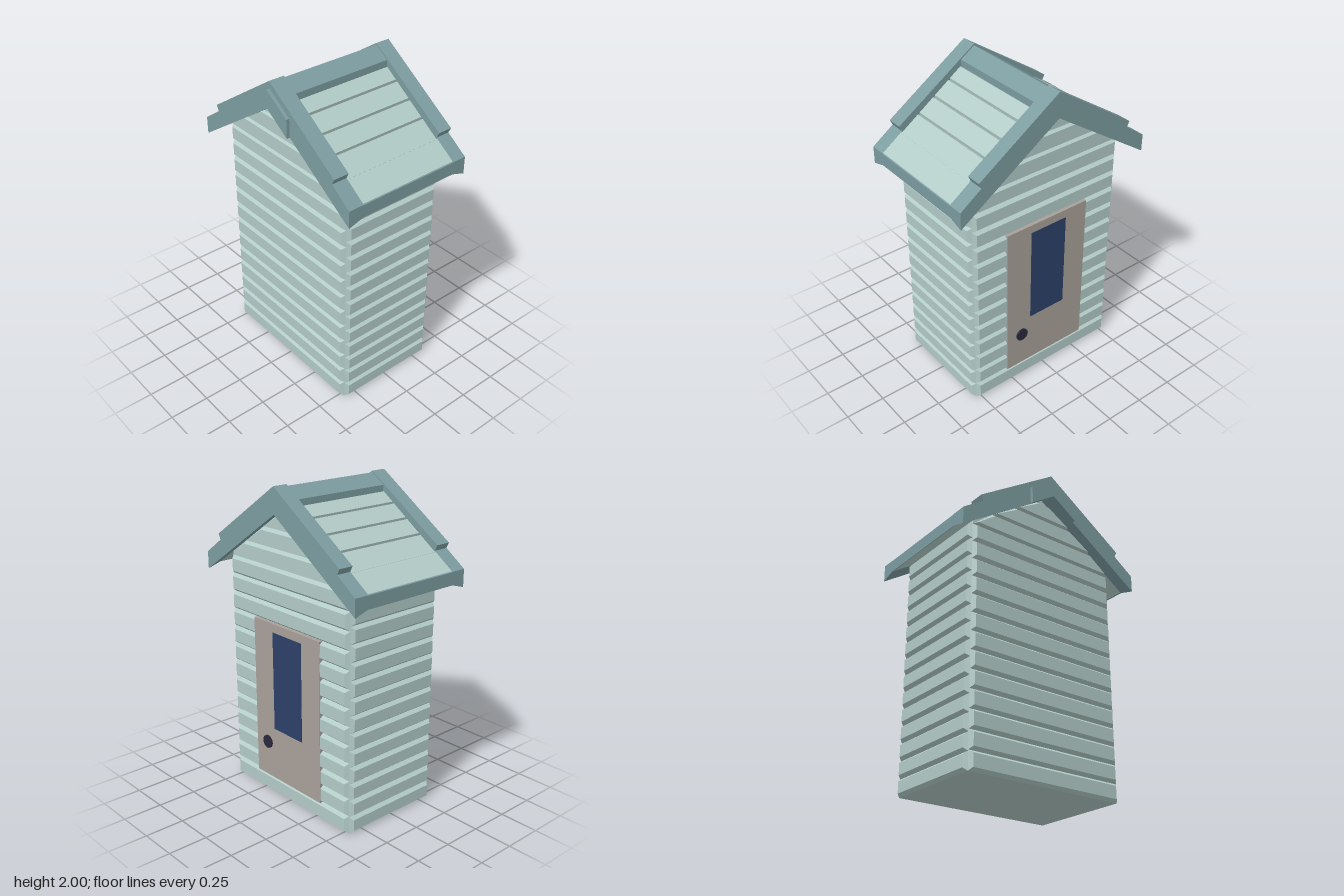
import * as THREE from 'three';

const mat = (color) => new THREE.MeshStandardMaterial({ color, flatShading: true });
const boards = mat(0xb2cbc7), trim = mat(0x7c9ca0), doorPaint = mat(0xa89f99);
const glass = mat(0x2c4069), metal = mat(0x28283c);

const BACK = -0.345, FRONT = 0.325, MID = (BACK + FRONT) / 2, DEPTH = FRONT - BACK;
const HALF = 0.528, RELIEF = 0.023;

const toShape = (pts) => new THREE.Shape(pts.map(([x, y]) => new THREE.Vector2(x, y)));

function add(parent, name, geometry, material) {
  const mesh = new THREE.Mesh(geometry, material);
  mesh.name = name;
  parent.add(mesh);
  return mesh;
}

// Flat profile in x/y, pushed from z0 to z1
function slab(pts, z0, z1) {
  const geo = new THREE.ExtrudeGeometry(toShape(pts), { depth: z1 - z0, bevelEnabled: false });
  return geo.translate(0, 0, z0);
}

// Mirrors a right-hand profile (first and last points on the centre line)
const mirrored = (half) => [...half, ...half.slice(1, -1).reverse().map(([x, y]) => [-x, y])];
const chevron = (top, bottom) => {
  const left = ([x, y]) => [-x, y];
  return [...top, ...bottom.slice().reverse(), ...bottom.slice(1).map(left), ...top.slice(1).reverse().map(left)];
};

// Board with chamfered edges; local z = 0 is the wall, its face stands out by `relief`
function board(pts, relief = RELIEF, chamfer = 0.018) {
  const geo = new THREE.ExtrudeGeometry(toShape(pts), {
    depth: 0.01, bevelEnabled: true, bevelSegments: 1,
    bevelThickness: relief, bevelSize: chamfer, bevelOffset: -chamfer,
  });
  return geo.translate(0, 0, -0.01);
}

function walls() {
  const g = new THREE.Group();
  g.name = 'walls';
  add(g, 'wallCore', slab(mirrored([[0, 0], [HALF, 0], [HALF, 1.526], [0, 1.88]]), BACK, FRONT), boards);

  // Gable end boards, narrowing under the roof
  const width = (y) => Math.min(HALF, (1.87 - y) / 0.67);
  const step = 0.115;
  for (let i = 0; i < 16; i++) {
    const y0 = i * step, y1 = y0 + step, a = width(y0), b = width(y1);
    const geo = board([[-a, y0], [a, y0], [b, y1], [-b, y1]]);
    add(g, 'frontBoard', geo, boards).position.z = FRONT;
    const back = add(g, 'backBoard', geo, boards);
    back.position.z = BACK;
    back.rotation.y = Math.PI;
  }

  // Side boards
  const rise = 0.1078, h = DEPTH / 2;
  for (let i = 0; i < 14; i++) {
    const y0 = i * rise, y1 = y0 + rise;
    const geo = board([[-h, y0], [h, y0], [h, y1], [-h, y1]]);
    for (const s of [1, -1]) {
      const m = add(g, s > 0 ? 'leftSideBoard' : 'rightSideBoard', geo, boards);
      m.position.set(s * HALF, 0, MID);
      m.rotation.y = s * Math.PI / 2;
    }
  }
  return g;
}

// Stepped gable trim; the lower edge is bevelled towards the wall
function bargeboard(zIn, zOut) {
  const geo = slab(
    chevron([[0, 2], [0.542, 1.638], [0.525, 1.603], [0.665, 1.505]], [[0, 1.84], [0.665, 1.395]]),
    Math.min(zIn, zOut), Math.max(zIn, zOut));
  const p = geo.attributes.position;
  for (let i = 0; i < p.count; i++) {
    const low = p.getY(i) < 1.86 - 0.669 * Math.abs(p.getX(i));
    if (low && Math.abs(p.getZ(i) - zIn) < 1e-4) p.setY(i, p.getY(i) + 0.03);
  }
  geo.computeVertexNormals();
  return geo;
}

function roof() {
  const g = new THREE.Group();
  g.name = 'roof';
  add(g, 'roofDeck', slab(chevron([[0, 1.945], [0.66, 1.49]], [[0, 1.87], [0.66, 1.43]]), BACK, FRONT), boards);
  add(g, 'ridgeCap', slab(chevron([[0, 1.99], [0.095, 1.927]], [[0, 1.92], [0.095, 1.86]]), BACK, FRONT), trim);
  add(g, 'frontBargeboard', bargeboard(FRONT, 0.425), trim);
  add(g, 'backBargeboard', bargeboard(BACK, -0.44), trim);
  add(g, 'gableBadge', slab(chevron([[0, 1.955], [0.17, 1.842]], [[0, 1.84], [0.17, 1.726]]), 0.42, 0.445), trim);

  // One slope, then its mirror image
  const angle = Math.atan(0.69), s = Math.sin(angle), c = Math.cos(angle);
  const basis = new THREE.Matrix4().makeBasis(
    new THREE.Vector3(c, -s, 0), new THREE.Vector3(0, 0, -1), new THREE.Vector3(s, c, 0));
  const edges = [0.092, 0.18, 0.29, 0.4, 0.53];
  for (const side of [1, -1]) {
    const slope = new THREE.Group();
    slope.name = side > 0 ? 'leftSlope' : 'rightSlope';
    slope.scale.x = side;
    for (let i = 0; i < 4; i++) {
      const x = (edges[i] + edges[i + 1]) / 2, w = (edges[i + 1] - edges[i]) / 2 / c, h = DEPTH / 2;
      const m = add(slope, 'roofBoard', board([[-w, -h], [w, -h], [w, h], [-w, h]], 0.017, 0.008), boards);
      m.quaternion.setFromRotationMatrix(basis);
      m.position.set(x, 1.945 - 0.69 * x, MID);
    }
    add(slope, 'eaveBoard', slab([[0.53, 1.599], [0.53, 1.53], [0.66, 1.44], [0.66, 1.508]], BACK, FRONT), boards);
    add(slope, 'eaveTrim', slab([[0.658, 1.508], [0.658, 1.428], [0.665, 1.424], [0.665, 1.503]], BACK, FRONT), trim);
    g.add(slope);
  }
  return g;
}

function door() {
  const g = new THREE.Group();
  g.name = 'door';
  add(g, 'doorPanel', new THREE.BoxGeometry(0.6, 1.035, 0.03), doorPaint).position.set(0, 0.632, -0.356);
  add(g, 'doorWindow', new THREE.BoxGeometry(0.26, 0.635, 0.02), glass).position.set(-0.008, 0.778, -0.364);
  const knob = add(g, 'doorKnob', new THREE.CylinderGeometry(0.042, 0.042, 0.02, 16), metal);
  knob.rotation.x = Math.PI / 2;
  knob.position.set(0.19, 0.35, -0.372);
  return g;
}

export function createModel() {
  const model = new THREE.Group();
  model.name = 'gardenShed';
  model.add(walls(), roof(), door());
  return model;
}
